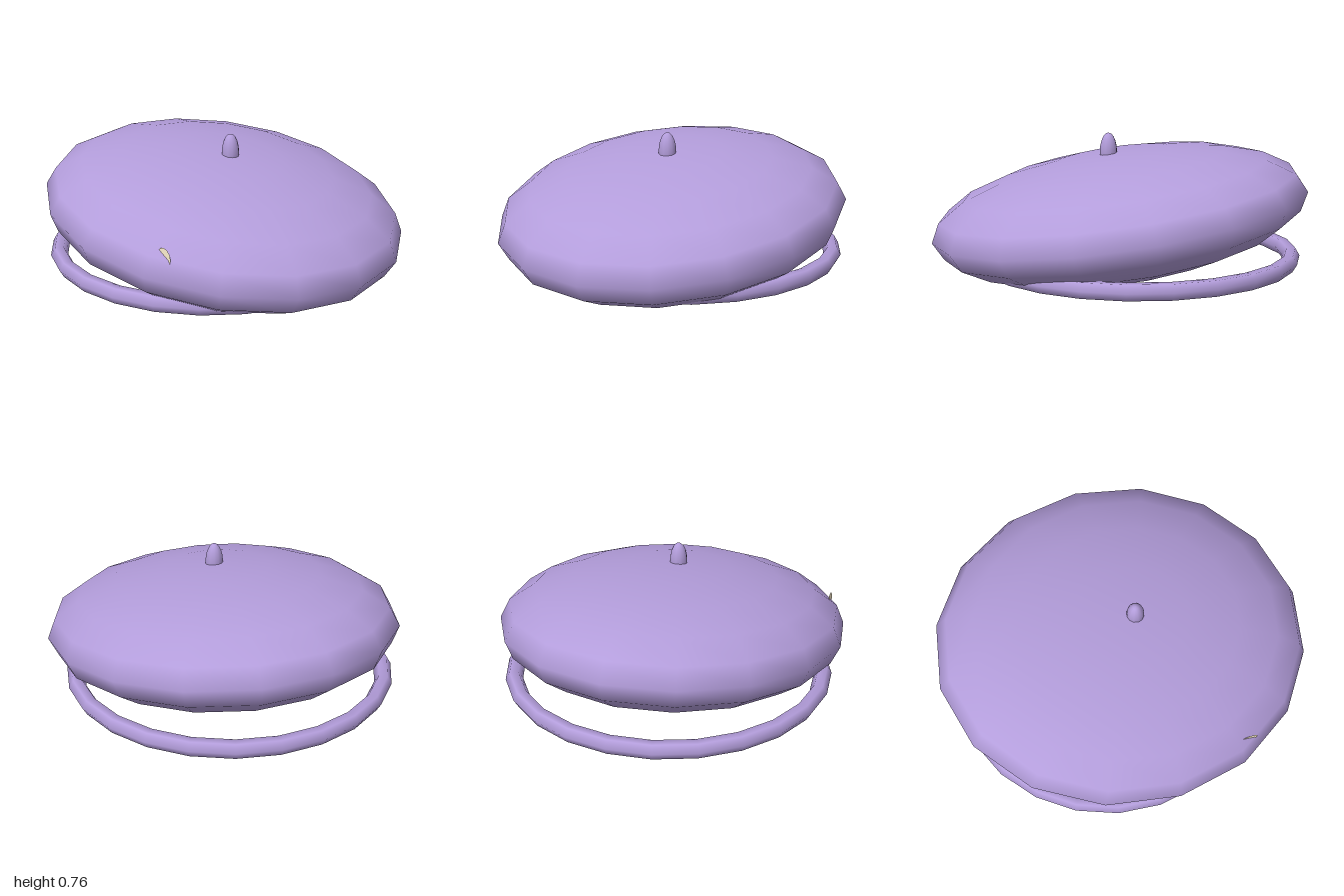
import * as THREE from 'three';

const lavender = new THREE.MeshStandardMaterial({ color: 0xb39ddb });
const cream = new THREE.MeshStandardMaterial({ color: 0xfff0d0 });

function part(name, geometry, material, x, y, z) {
  const mesh = new THREE.Mesh(geometry, material);
  mesh.name = name;
  mesh.position.set(x, y, z);
  return mesh;
}

export function createModel() {
  const group = new THREE.Group();

  // Flattened body, tipped down toward +x
  const body = part('body', new THREE.SphereGeometry(1, 16, 10), lavender, 0, 0.35, 0);
  body.scale.set(1.01, 0.318, 0.905);
  body.rotation.z = -0.139;
  group.add(body);

  // Level ring, partly sunk into the low side of the body
  const ring = part('ring', new THREE.TorusGeometry(0.824, 0.046, 6, 24), lavender, -0.09, 0.115, 0);
  ring.rotation.x = Math.PI / 2;
  group.add(ring);

  // Rounded knob on top
  const knob = part('knob', new THREE.SphereGeometry(1, 12, 10), lavender, 0.065, 0.67, 0);
  knob.scale.set(0.046, 0.1, 0.046);
  group.add(knob);

  // Small pale disc, mostly buried in the front of the body
  group.add(part('paleSpot', new THREE.CircleGeometry(0.048, 12), cream, 0.43, 0.39, 0.745));

  return group;
}
